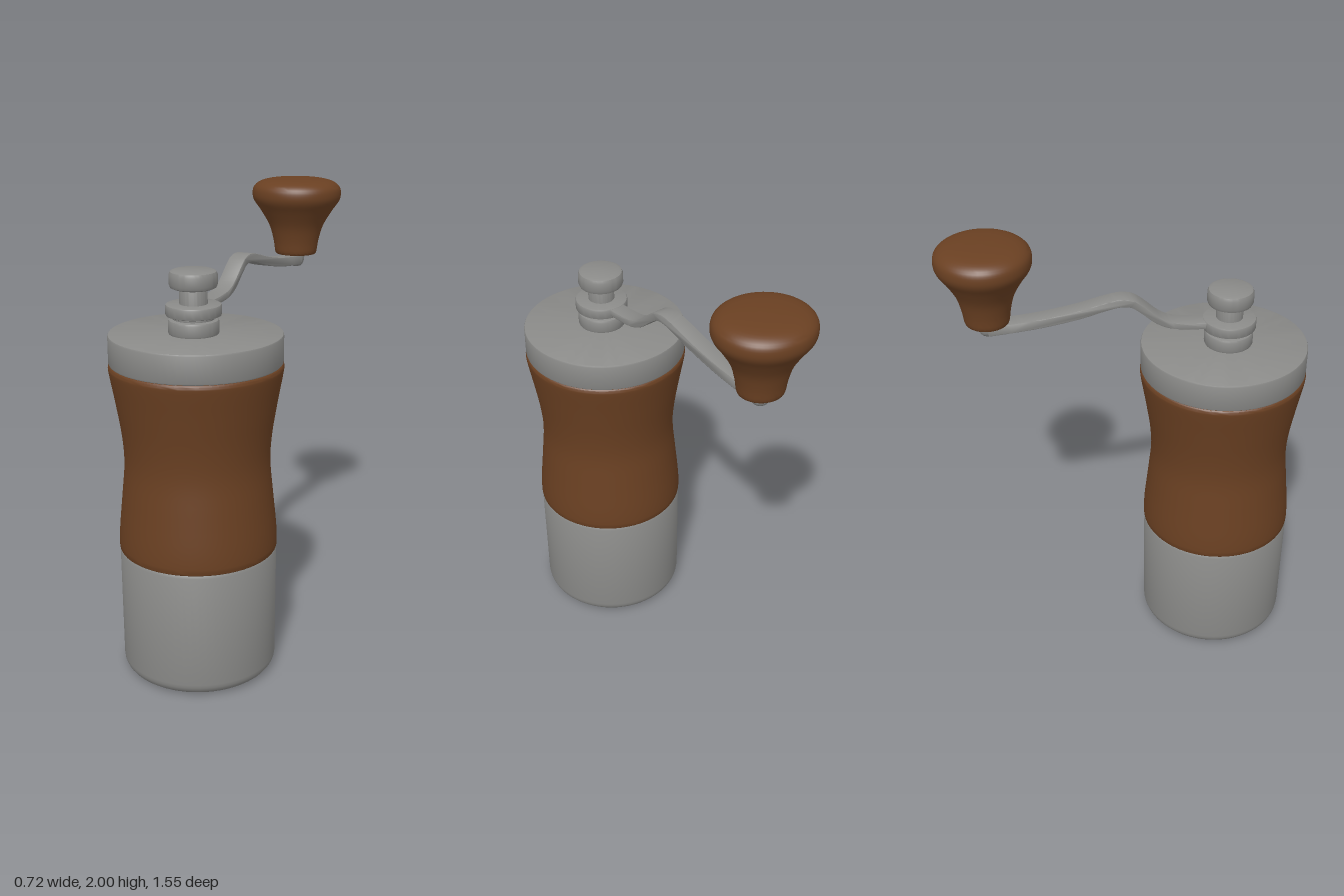
import * as THREE from 'three';
import { toCreasedNormals } from 'three/addons/utils/BufferGeometryUtils.js';

const BODY_Z = 0.42, SPINDLE_Z = 0.437, KNOB_Z = -0.575;

export function createModel() {
  const model = new THREE.Group();
  model.name = 'handGrinder';
  const metal = new THREE.MeshStandardMaterial({ color: 0x8a8a88 });
  metal.name = 'brushed metal';
  const wood = new THREE.MeshStandardMaterial({ color: 0x6a4022 });
  wood.name = 'brown wood';

  function add(name, geometry, material, z = 0) {
    const mesh = new THREE.Mesh(geometry, material);
    mesh.name = name;
    mesh.position.z = z;
    model.add(mesh);
    return mesh;
  }

  // Turned part from [radius, height] points, listed bottom to top
  function turned(name, points, material, z) {
    const profile = points.map(([r, y]) => new THREE.Vector2(r, y));
    return add(name, toCreasedNormals(new THREE.LatheGeometry(profile, 64), 0.6), material, z);
  }

  // Closed disc with small bevels
  function disc(name, r, y0, y1, bevel, z) {
    return turned(name, [[0, y0], [r - bevel, y0], [r - bevel * 0.3, y0 + bevel * 0.3], [r, y0 + bevel],
      [r, y1 - bevel], [r - bevel * 0.3, y1 - bevel * 0.3], [r - bevel, y1], [0, y1]], metal, z);
  }

  // Smooth turned part through a few points, closed on the axis
  function smoothTurned(name, points, material, z) {
    const curve = new THREE.SplineCurve(points.map(([r, y]) => new THREE.Vector2(r, y)));
    const pts = curve.getPoints(36).map((p) => [Math.max(p.x, 0), p.y]);
    const first = points[0], last = points[points.length - 1];
    return turned(name, [[0, first[1]], ...pts, ...(last[0] > 0 ? [[0, last[1]]] : [])], material, z);
  }

  // Cup with a rounded foot
  const foot = [];
  for (let i = 0; i <= 6; i++) {
    const a = (i / 6) * Math.PI / 2;
    foot.push([0.275 + 0.055 * Math.sin(a), 0.055 - 0.055 * Math.cos(a)]);
  }
  turned('groundsCup', [[0, 0], ...foot, [0.333, 0.545], [0.328, 0.556], [0, 0.556]], metal, BODY_Z);

  // Waisted wooden grip
  smoothTurned('woodenGrip', [[0.328, 0.556], [0.335, 0.57], [0.332, 0.65], [0.317, 0.8], [0.305, 0.94],
    [0.312, 1.06], [0.334, 1.2], [0.354, 1.31], [0.359, 1.35], [0.352, 1.362]], wood, BODY_Z);

  // Lid and spindle
  disc('lid', 0.357, 1.362, 1.485, 0.008, BODY_Z);
  disc('lowerCollar', 0.104, 1.48, 1.545, 0.012, SPINDLE_Z);
  disc('spindle', 0.057, 1.5, 1.69, 0.004, SPINDLE_Z);
  disc('crankRing', 0.114, 1.558, 1.606, 0.008, SPINDLE_Z);
  disc('collarNeck', 0.085, 1.54, 1.562, 0.002, SPINDLE_Z);
  disc('topNut', 0.098, 1.668, 1.742, 0.018, SPINDLE_Z);

  // Flat bent crank arm: a side outline extruded across its width
  const path = new THREE.SplineCurve([[0.36, 1.588], [0.27, 1.59], [0.19, 1.6], [0.13, 1.626], [0.06, 1.684],
    [0.02, 1.71], [-0.03, 1.716], [-0.1, 1.701], [-0.2, 1.673], [-0.34, 1.645], [-0.47, 1.628],
    [-0.575, 1.618]].map(([z, y]) => new THREE.Vector2(-z, y)));
  const top = [], bottom = [], steps = 48;
  for (let i = 0; i <= steps; i++) {
    const p = path.getPoint(i / steps), t = path.getTangent(i / steps);
    const half = 0.014 + 0.008 * (i / steps);
    top.push(new THREE.Vector2(p.x - t.y * half, p.y + t.x * half));
    bottom.push(new THREE.Vector2(p.x + t.y * half, p.y - t.x * half));
  }
  const outline = new THREE.Shape([...bottom, ...top.reverse()]);
  const arm = new THREE.ExtrudeGeometry(outline, { depth: 0.066, bevelEnabled: true, bevelThickness: 0.005,
    bevelSize: 0.004, bevelOffset: -0.004, bevelSegments: 2 });
  arm.translate(0, 0, -0.033);
  arm.rotateY(Math.PI / 2);
  add('crankArm', toCreasedNormals(arm, 0.6), metal).position.x = -0.004;

  // Rounded pivot under the knob
  smoothTurned('knobPivot', [[0.01, 1.587], [0.026, 1.591], [0.037, 1.608], [0.041, 1.635], [0.042, 1.67]],
    metal, KNOB_Z);

  // Flared wooden knob, slightly oval
  const knob = smoothTurned('crankKnob', [[0.085, 1.648], [0.097, 1.655], [0.106, 1.71], [0.126, 1.78],
    [0.167, 1.85], [0.199, 1.895], [0.207, 1.928], [0.198, 1.962], [0.16, 1.986], [0.09, 1.997], [0, 2]],
    wood, KNOB_Z);
  knob.scale.z = 0.955;

  return model;
}
